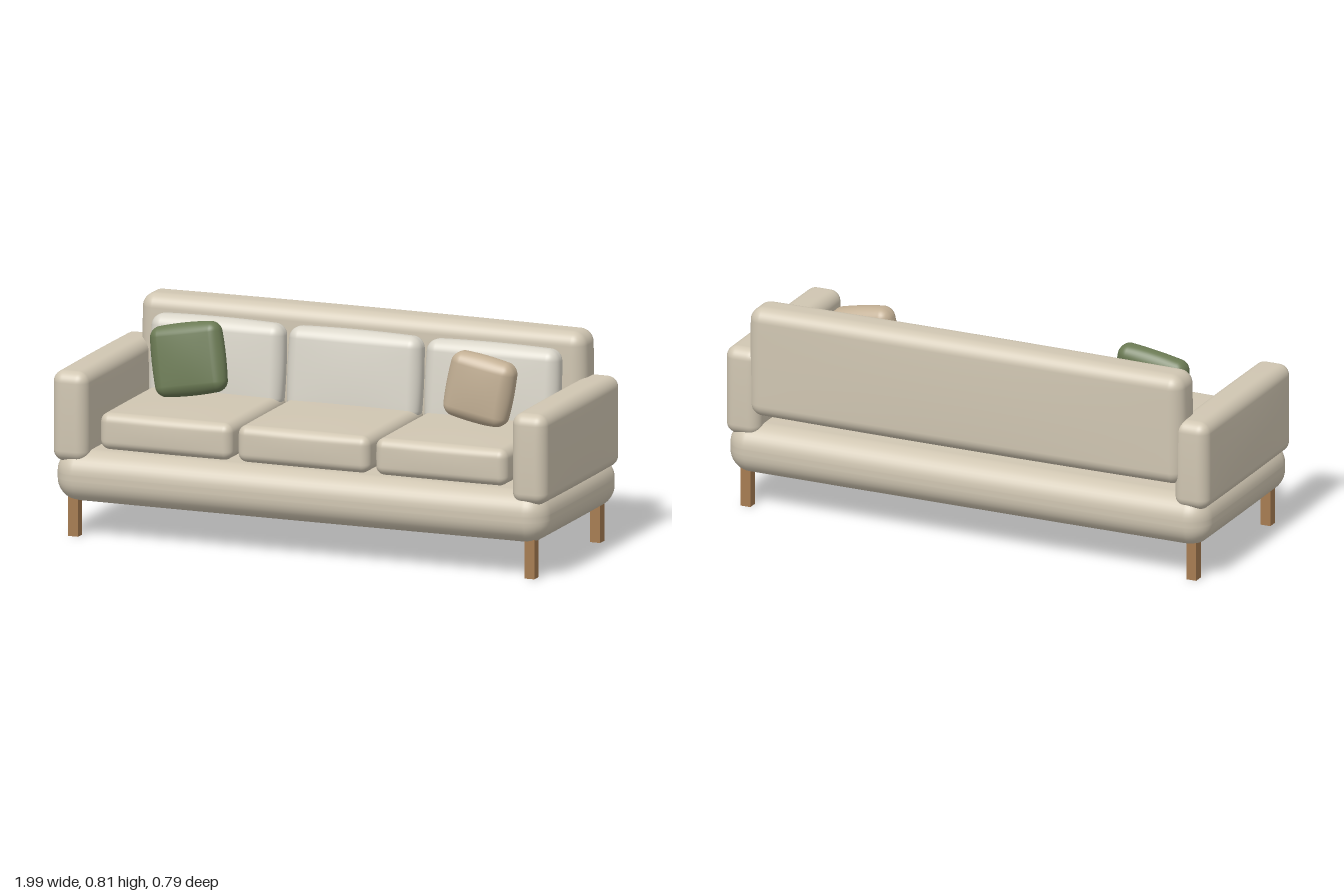
import * as THREE from 'three';
import { mergeVertices } from 'three/addons/utils/BufferGeometryUtils.js';

const material = (color) => new THREE.MeshStandardMaterial({ color, roughness: 0.9 });

// Box with rounded edges whose faces swell by `puff` towards their middle.
// Width, height and depth are the outer extents, swelling included.
function softBox(w, h, d, radius, puff) {
  const corner = 5, middle = 8, n = corner * 2 + middle;
  const geo = new THREE.BoxGeometry(2, 2, 2, n, n, n);
  geo.deleteAttribute('uv');
  geo.deleteAttribute('normal');
  const half = [w / 2 - puff, h / 2 - puff, d / 2 - puff];
  const pos = geo.attributes.position;

  // Spread grid lines: equal angles round the corners, equal steps between
  const place = (t, s) => {
    const i = Math.round((t + 1) * n / 2);
    const inner = s - radius;
    const k = Math.min(i, n - i);
    if (k >= corner) return inner * ((i - corner) / middle * 2 - 1);
    const a = (1 - k / corner) * Math.PI / 4;
    return Math.sign(t) * (inner + radius * Math.tan(a));
  };

  for (let v = 0; v < pos.count; v++) {
    const t = [pos.getX(v), pos.getY(v), pos.getZ(v)];
    const p = t.map((c, i) => place(c, half[i]));
    const core = p.map((c, i) => THREE.MathUtils.clamp(c, radius - half[i], half[i] - radius));
    const dir = new THREE.Vector3(...p.map((c, i) => c - core[i])).setLength(radius).toArray();
    const r = core.map((c, i) => c + dir[i]);
    const u = r.map((c, i) => c / half[i]);
    const fall = u.map((c) => 1 - c * c);
    pos.setXYZ(v,
      r[0] + puff * u[0] * fall[1] * fall[2],
      r[1] + puff * u[1] * fall[0] * fall[2],
      r[2] + puff * u[2] * fall[0] * fall[1]);
  }
  const merged = mergeVertices(geo, 1e-5);
  merged.computeVertexNormals();
  return merged;
}

export function createModel() {
  const sofa = new THREE.Group();
  sofa.name = 'sofa';

  const fabric = material(0xd0c6b2);
  const paleFabric = material(0xd9d5c9);
  const green = material(0x6b7a54);
  const tan = material(0xc2af94);
  const wood = material(0xa67c52);

  const add = (name, geo, mat, x, y, z, rx = 0, rz = 0) => {
    const mesh = new THREE.Mesh(geo, mat);
    mesh.name = name;
    mesh.position.set(x, y, z);
    mesh.rotation.set(rx, 0, rz);
    sofa.add(mesh);
  };

  // Upholstered base and backrest
  add('base', softBox(1.98, 0.205, 0.79, 0.085, 0.004), fabric, 0, 0.233, 0);
  add('backrest', softBox(1.79, 0.44, 0.165, 0.05, 0.006), fabric, 0, 0.59, -0.314);

  // Arms
  const arm = softBox(0.147, 0.352, 0.764, 0.042, 0.004);
  for (const side of [1, -1]) {
    add(side > 0 ? 'leftArm' : 'rightArm', arm, fabric, side * 0.923, 0.46, 0.002);
  }

  // Three seat cushions, each with a back cushion leaning on the backrest
  const seat = softBox(0.538, 0.15, 0.58, 0.034, 0.005);
  const backCushion = softBox(0.538, 0.33, 0.115, 0.042, 0.006);
  ['right', 'middle', 'left'].forEach((side, i) => {
    const x = (i - 1) * 0.553;
    add(side + 'SeatCushion', seat, fabric, x, 0.408, 0.052);
    add(side + 'BackCushion', backCushion, paleFabric, x, 0.588, -0.192, -0.1);
  });

  // Two loose pillows
  add('greenPillow', softBox(0.292, 0.275, 0.1, 0.036, 0.008), green, -0.602, 0.626, -0.024, -0.16, 0.18);
  add('tanPillow', softBox(0.265, 0.258, 0.112, 0.038, 0.008), tan, 0.568, 0.615, -0.028, -0.04, -0.18);

  // Wooden legs
  const leg = new THREE.BoxGeometry(0.04, 0.16, 0.04);
  for (const x of [1, -1]) {
    for (const z of [1, -1]) {
      add((z > 0 ? 'front' : 'back') + (x > 0 ? 'Left' : 'Right') + 'Leg', leg, wood, x * 0.917, 0.08, z * 0.322);
    }
  }
  return sofa;
}
